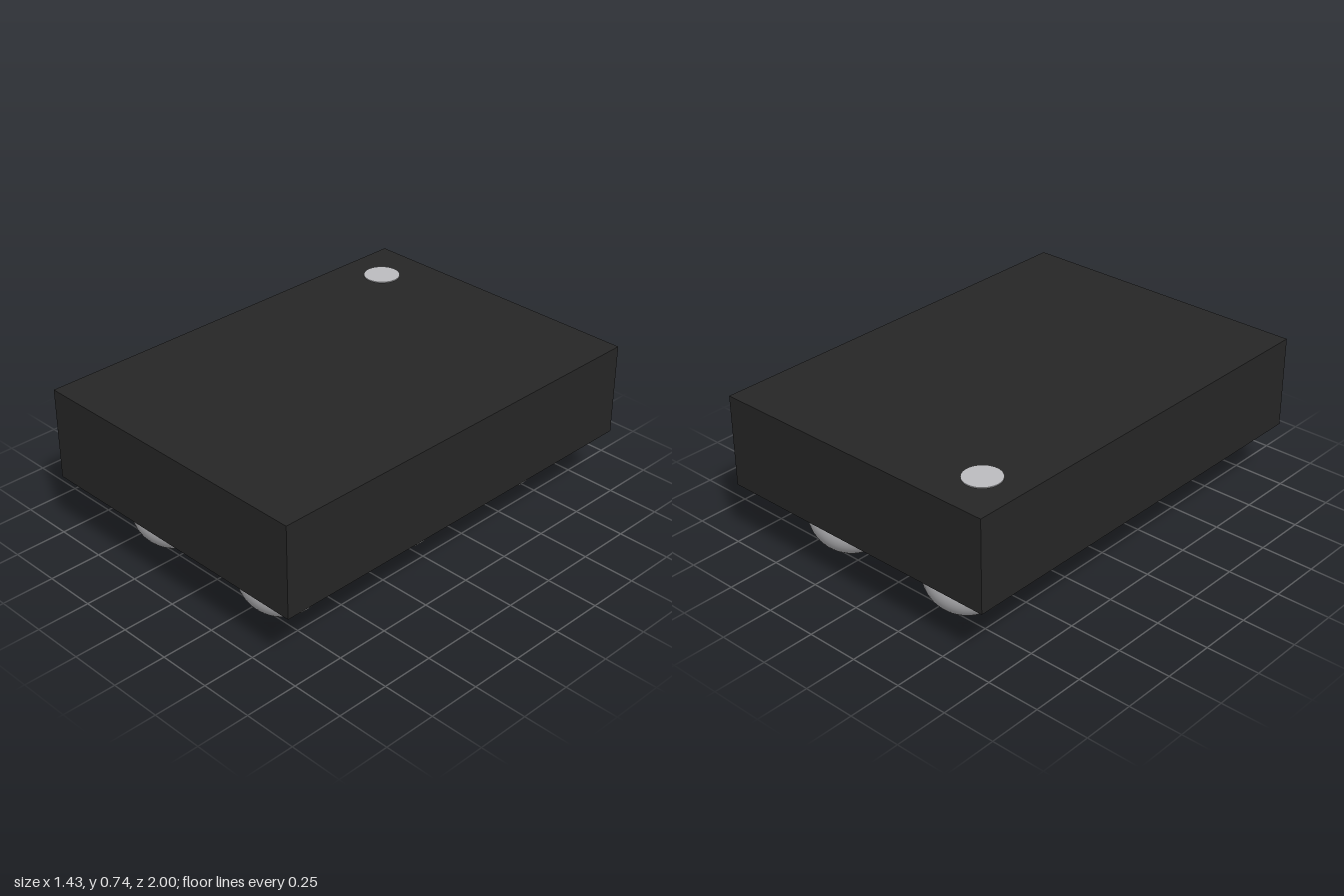
import * as THREE from 'three';

export function createModel() {
  const model = new THREE.Group();
  const casing = new THREE.MeshStandardMaterial({ name: 'black casing', color: 0x262626 });
  const solder = new THREE.MeshStandardMaterial({ name: 'solder grey', color: 0xbdbdc0 });
  const paint = new THREE.MeshStandardMaterial({ name: 'marker grey', color: 0xbdbdc0 });

  const add = (name, geometry, material, x, y, z) => {
    const mesh = new THREE.Mesh(geometry, material);
    mesh.name = name;
    mesh.position.set(x, y, z);
    model.add(mesh);
  };

  // Rectangular package body
  const bottom = 0.307, top = 0.74;
  add('packageBody', new THREE.BoxGeometry(1.434, top - bottom, 2), casing, 0, (bottom + top) / 2, 0);

  // Thin round marker for the first contact
  add('cornerMarker', new THREE.CylinderGeometry(0.085, 0.085, 0.008, 48), paint, -0.517, top, -0.775);

  // Two by three grid of contact balls, sunk into the underside
  const radius = 0.193, pitch = 0.687;
  const ball = new THREE.SphereGeometry(radius, 48, 32);
  for (const column of [-0.5, 0.5]) {
    for (const row of [-1, 0, 1]) {
      add('contactBall', ball, solder, column * pitch, radius, row * pitch);
    }
  }
  return model;
}
